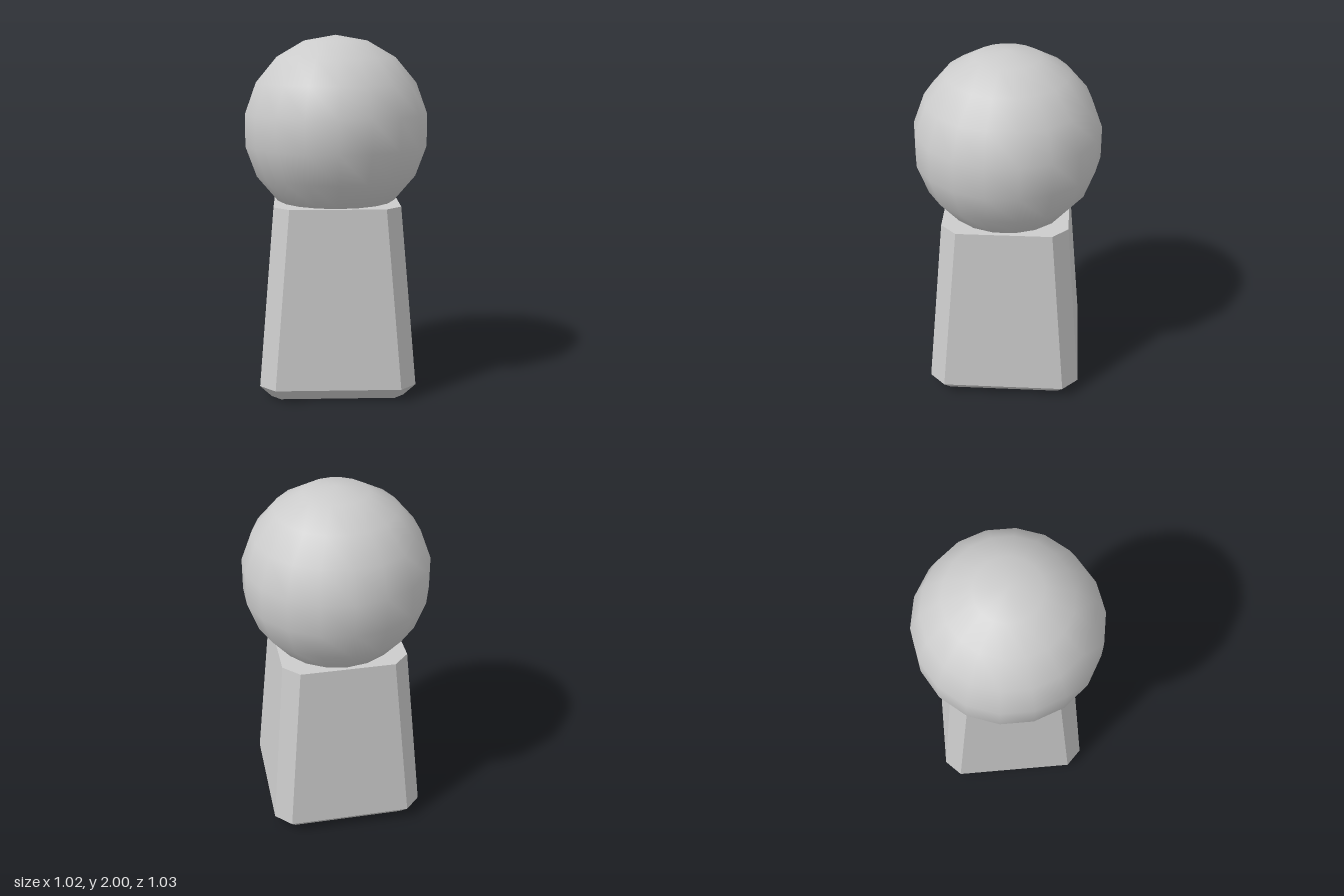
import * as THREE from 'three';
import { ConvexGeometry } from 'three/addons/geometries/ConvexGeometry.js';

// Square ring with cut corners: h = half width, c = half length of each flat side
function ring(y, h, c) {
  const points = [];
  for (const sx of [-1, 1]) {
    for (const sz of [-1, 1]) {
      points.push(new THREE.Vector3(sx * h, y, sz * c), new THREE.Vector3(sx * c, y, sz * h));
    }
  }
  return points;
}

export function createModel() {
  const model = new THREE.Group();
  model.name = 'figure';

  // Tapered body with cut corners and a bevelled foot
  const body = new THREE.Mesh(
    new ConvexGeometry([
      ...ring(0, 0.37, 0.318),
      ...ring(0.07, 0.435, 0.347),
      ...ring(1.068, 0.352, 0.265),
    ]),
    new THREE.MeshStandardMaterial({ color: 0xcccccc, flatShading: true })
  );
  body.name = 'body';
  model.add(body);

  // Smooth ball head sunk into the top of the body, a vertex line facing front
  const head = new THREE.Mesh(
    new THREE.SphereGeometry(0.525, 18, 9).rotateY(Math.PI / 2),
    new THREE.MeshStandardMaterial({ color: 0xcccccc })
  );
  head.name = 'head';
  head.position.y = 1.475;
  model.add(head);

  return model;
}
